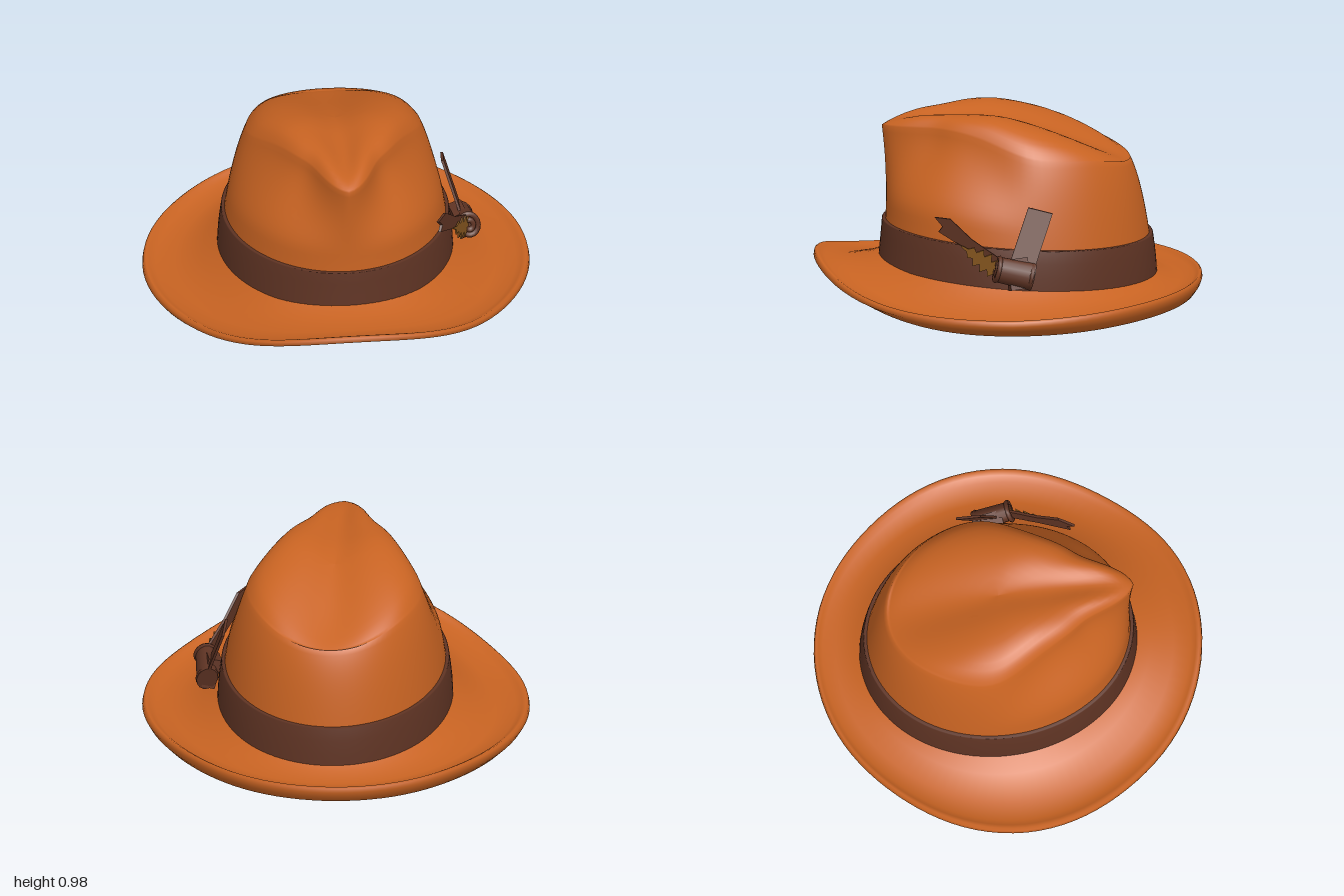
import * as THREE from 'three';

const SEG = 96;
const CZ = -0.05; // centre of the crown oval
const felt = new THREE.MeshStandardMaterial({ color: 0xc86322 });
felt.name = 'orange felt';
const ribbonMat = new THREE.MeshStandardMaterial({ color: 0x5e3323 });
ribbonMat.name = 'brown ribbon';
const featherMat = new THREE.MeshStandardMaterial({ color: 0x87571f });
featherMat.name = 'golden feather';

const { lerp, smoothstep } = THREE.MathUtils;
const bump = (v, mid, width) => Math.exp(-(((v - mid) / width) ** 2));
// Angle away from the front, the same on both sides
const fromFront = phi => (phi > Math.PI ? 2 * Math.PI - phi : phi);

// Closed loft: ring(phi, i) gives [x, y, z]; phi runs from the front towards +x
function loft(name, material, count, ring) {
  const pos = [], index = [];
  for (let i = 0; i < count; i++) {
    for (let j = 0; j < SEG; j++) {
      pos.push(...ring((j / SEG) * Math.PI * 2, i));
      if (i === count - 1) continue;
      const k = (j + 1) % SEG;
      const a = i * SEG + j, b = i * SEG + k;
      index.push(a, b, b + SEG, a, b + SEG, a + SEG);
    }
  }
  const g = new THREE.BufferGeometry();
  g.setAttribute('position', new THREE.Float32BufferAttribute(pos, 3));
  g.setIndex(index);
  g.computeVertexNormals();
  const mesh = new THREE.Mesh(g, material);
  mesh.name = name;
  return mesh;
}

// Egg-shaped crown section at height y, as [x, z]
function oval(phi, y, scale = 1, grow = 0) {
  const k = y - 0.15, c = Math.cos(phi);
  const a = 0.593 - 0.08 * k - 0.14 * k * k + grow;
  const b = (c > 0 ? 0.715 - 0.2 * k + 0.27 * k * k : 0.7 - 0.1 * k - 0.12 * k * k) + grow;
  return [a * scale * Math.sin(phi), CZ + b * scale * c];
}

// Top line of the crown from back to front
function topLine(z) {
  const d = 0.15 - z;
  return d > 0 ? 1 - (0.55 * d * d) / (d + 0.55) : 1 - 0.08 * d * d;
}

// Lengthwise crease, narrow at the front and wide at the back
const crease = (x, z) =>
  0.046 * bump(x, 0, 0.11 + 0.12 * Math.max(0, -z) - 0.04 * smoothstep(z, 0.1, 0.5));

// Straight flanks that pinch the top outline into a teardrop
function pinch(phi, t) {
  const away = fromFront(phi);
  const [x, z] = oval(phi, 0.85);
  const q = Math.max(0, Math.abs(x) + 0.587 * (z - CZ)) / 0.47;
  const full = (1 + q ** 13) ** (-1 / 13) * (1 - 0.05 * bump(away, 0.55, 0.25));
  return lerp(1, full, smoothstep(t, 0.42, 0.98)) * (1 - (0.025 - 0.012 * Math.cos(phi)) * t ** 7);
}

function makeCrown() {
  const sideRings = 22;
  const cap = [0.985, 0.965, 0.94, 0.91, 0.87, 0.8, 0.7, 0.6, 0.5, 0.4, 0.3, 0.2, 0.1, 0];
  return loft('crown', felt, sideRings + 1 + cap.length, (phi, i) => {
    const flank = bump(fromFront(phi), 1.65, 0.5);
    const drop = 0.05 - 0.022 * Math.cos(phi + Math.PI) + 0.085 * flank;
    const rimY = topLine(oval(phi, 0.85, pinch(phi, 1))[1]) - drop;
    if (i <= sideRings) {
      const t = i / sideRings;
      const y = lerp(0.17 + 0.07 * oval(phi, 0.15)[1], rimY, t);
      const [x, z] = oval(phi, y, pinch(phi, t));
      return [x, y, z];
    }
    const s = cap[i - sideRings - 1];
    const [x, z] = oval(phi, rimY, pinch(phi, 1) * s);
    return [x, topLine(z) - drop * s ** (10 - 4 * flank) - crease(x, z) * (1 - s ** 6), z];
  });
}

// Underside of the hat: flat, sweeping up towards the front
const underside = (x, z) => 0.035 - 0.027 * x * x + 0.19 * Math.max(z, 0) ** 3.5;

// Brim with a rolled edge, closed underneath
function makeBrim() {
  // Fractions from crown to edge; negative ones run in to the centre
  const below = [-1, -0.75, -0.5, -0.25, 0, 0.3, 0.55, 0.75, 0.87];
  const above = 9;
  return loft('brim', felt, below.length + above, (phi, i) => {
    const c = Math.cos(phi), front = Math.max(c, 0), back = Math.max(-c, 0);
    const away = fromFront(phi);
    const reach = 1 - 0.025 * bump(away, 0.95, 0.4) - 0.02 * bump(away, 2.3, 0.4);
    const [ix, iz] = oval(phi, 0.15, 0.95);
    const at = f => (f < 0 ? [ix * (1 + f), iz * (1 + f)]
      : [lerp(ix, reach * Math.sin(phi), f), lerp(iz, reach * c, f)]);
    let f, y;
    if (i < below.length) {
      f = below[i];
      y = underside(...at(f));
    } else {
      const edge = 0.102 + 0.03 * back + 0.148 * front ** 5;
      const mid = 0.05 + 0.14 * front ** 3.5 + 0.035 * back ** 2;
      const inner = 0.207 + 0.06 * iz;
      [f, y] = [
        [0.96, lerp(underside(...at(0.9)), edge, 0.38)], [1, edge - 0.03], [0.99, edge - 0.008],
        [0.96, edge], [0.91, edge - 0.01], [0.84, lerp(mid, edge, 0.45)],
        [0.6, mid + 0.008], [0.28, lerp(inner, mid, 0.6)], [0, inner],
      ][i - below.length];
    }
    const [x, z] = at(f);
    return [x, y, z];
  });
}

// Band: outer wall with turned-in top edge
function makeBand() {
  const rows = [[0, 0.014], [0.33, 0.017], [0.67, 0.018], [0.98, 0.018], [1, 0.014], [1, -0.01]];
  return loft('hatBand', ribbonMat, rows.length, (phi, i) => {
    const [f, grow] = rows[i];
    const z0 = oval(phi, 0.3)[1];
    const y = lerp(0.175 + 0.07 * z0, 0.382 + 0.058 * z0, f);
    const [x, z] = oval(phi, y, 1, grow);
    return [x, y, z];
  });
}

// Thin plate drawn in the side plane as [z, y], laid along x = lay(y, z)
function plate(name, material, points, lay, depth = 0.014) {
  const shape = new THREE.Shape(points.map(([z, y]) => new THREE.Vector2(-z, y)));
  const g = new THREE.ExtrudeGeometry(shape, { depth, bevelEnabled: false });
  g.rotateY(Math.PI / 2);
  const p = g.attributes.position;
  for (let i = 0; i < p.count; i++) p.setX(i, p.getX(i) + lay(p.getY(i), p.getZ(i)));
  g.computeVertexNormals();
  const mesh = new THREE.Mesh(g, material);
  mesh.name = name;
  return mesh;
}

function makeBow() {
  const bow = new THREE.Group();
  bow.name = 'bow';
  bow.add(plate('uprightTail', ribbonMat,
    [[-0.09, 0.6], [-0.215, 0.57], [-0.12, 0.3], [0.01, 0.32]],
    y => 0.635 - 0.31 * (y - 0.33)));
  bow.add(plate('forkedTail', ribbonMat,
    [[0.39, 0.535], [0.31, 0.535], [0.2, 0.44], [0.03, 0.34], [0.06, 0.28], [0.22, 0.38], [0.37, 0.46], [0.35, 0.49]],
    (y, z) => 0.635 - 0.54 * (z - 0.1)));

  // Feather with a ragged edge
  const tip = new THREE.Vector2(0.28, 0.42), root = new THREE.Vector2(0.04, 0.27);
  const along = tip.clone().sub(root), across = new THREE.Vector2(-along.y, along.x).normalize();
  const edge = side => Array.from({ length: 13 }, (_, i) => {
    const t = i / 13;
    const w = 0.05 * Math.sin(Math.PI * Math.min(1, t + 0.12)) * (i % 2 ? 1.2 : 0.5);
    const q = root.clone().addScaledVector(along, t).addScaledVector(across, side * w);
    return [q.x, q.y];
  });
  bow.add(plate('feather', featherMat, [...edge(1), [tip.x, tip.y], ...edge(-1).reverse()],
    (y, z) => 0.655 - 0.5 * (z - 0.1), 0.008));

  // Knot: a rolled ribbon with a spiral fold at its front end
  const knot = new THREE.Group();
  knot.name = 'knot';
  const roll = new THREE.Mesh(new THREE.CylinderGeometry(0.055, 0.06, 0.19, 14), ribbonMat);
  roll.name = 'knotRoll';
  roll.rotation.x = Math.PI / 2;
  roll.scale.set(0.9, 1, 1.2);
  knot.add(roll);
  for (const [z, r] of [[0.095, 0.048], [0.1, 0.022], [-0.08, 0.046]]) {
    const fold = new THREE.Mesh(new THREE.TorusGeometry(r, 0.013, 6, 18), ribbonMat);
    fold.name = 'knotFold';
    fold.position.z = z;
    fold.scale.y = 1.2;
    knot.add(fold);
  }
  const wrap = new THREE.Mesh(new THREE.BoxGeometry(0.07, 0.16, 0.11), ribbonMat);
  wrap.name = 'knotWrap';
  wrap.position.set(-0.02, 0, -0.02);
  wrap.rotation.x = 0.35;
  knot.add(wrap);
  knot.position.set(0.668, 0.28, -0.02);
  knot.rotation.set(-0.25, 0.12, 0.3);
  bow.add(knot);
  return bow;
}

export function createModel() {
  const hat = new THREE.Group();
  hat.name = 'hat';
  hat.add(makeCrown(), makeBrim(), makeBand(), makeBow());
  return hat;
}
